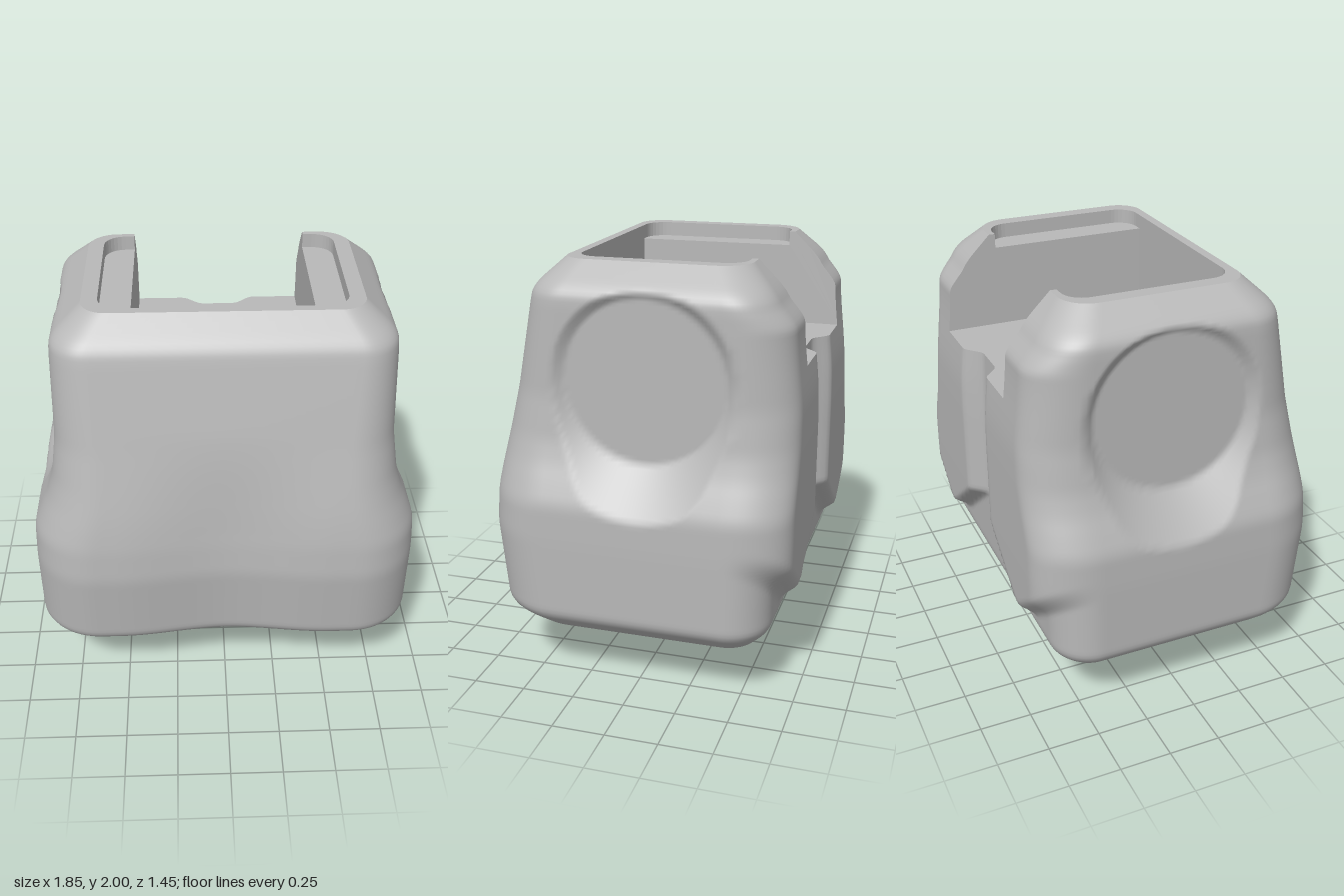
import * as THREE from 'three';

const { smoothstep, lerp } = THREE.MathUtils;
const grey = new THREE.MeshStandardMaterial({ color: 0xb8b8b8, side: THREE.DoubleSide });
grey.name = 'plain grey';

const BOTTOM = 0.28, TOP = 2, FLOOR = 1.53, STEP = 1.93;
const SLOT = 0.42, SLOT_FRONT = 0.345, RECESS = 0.565, RECESS_BACK = -0.44;
const NB = 21; // columns from the back centre to the slot edge

// Body outline by height: [y, half width, front z, back z, front radius, back radius]
const profile = [
  [0.28, 0.835, 0.57, -0.56, 0.24, 0.14],
  [0.36, 0.925, 0.69, -0.635, 0.3, 0.2],
  [0.75, 0.925, 0.73, -0.64, 0.3, 0.2],
  [0.92, 0.92, 0.72, -0.64, 0.3, 0.2],
  [1.02, 0.88, 0.705, -0.64, 0.28, 0.2],
  [1.1, 0.845, 0.69, -0.64, 0.26, 0.2],
  [1.2, 0.815, 0.668, -0.64, 0.24, 0.2],
  [1.4, 0.79, 0.622, -0.635, 0.22, 0.2],
  [1.83, 0.787, 0.53, -0.62, 0.18, 0.2],
  [1.88, 0.78, 0.515, -0.59, 0.17, 0.19],
  [2, 0.64, 0.39, -0.47, 0.12, 0.14],
];

function lookup(y) {
  let i = 0;
  while (i < profile.length - 2 && y > profile[i + 1][0]) i++;
  const a = profile[i], b = profile[i + 1], t = (y - a[0]) / (b[0] - a[0]);
  return a.slice(1).map((v, k) => lerp(v, b[k + 1], t));
}

function outline(y) {
  const h = Math.min(0.03, y - BOTTOM, TOP - y);
  const sets = [-1, -0.5, 0, 0.5, 1].map((k) => lookup(y + k * h));
  return sets[0].map((_, k) => sets.reduce((s, v) => s + v[k], 0) / sets.length);
}

// Raised back pads: a channel between them, a V-shaped lower end, a soft top
function padHeight(x, y) {
  const inner = 0.08 + Math.max(0, 0.75 - y) * 1.3;
  const low = 0.44 + Math.max(0, x - 0.55) * 0.75;
  return lerp(0.085, 0.062, smoothstep(y, 1.3, 1.74)) * smoothstep(x, inner, inner + 0.11)
    * smoothstep(y, low - 0.04, low + 0.08) * (1 - smoothstep(y, 1.73, 1.85));
}

// One half section, from the back centre round +x to the front centre
function halfRing(y) {
  const [w, zf, zb, rf, rb] = outline(y), pts = [[0, zb]];
  const add = (n, f) => { for (let k = 1; k <= n; k++) pts.push(f(k / n)); };
  add(NB, (t) => [SLOT * t, zb]);
  add(10, (t) => [lerp(SLOT, w - rb, t), zb]);
  add(14, (t) => [w - rb + rb * Math.sin(t * Math.PI / 2), zb + rb - rb * Math.cos(t * Math.PI / 2)]);
  add(48, (t) => [w, lerp(zb + rb, zf - rf, t)]);
  add(14, (t) => [w - rf + rf * Math.cos(t * Math.PI / 2), zf - rf + rf * Math.sin(t * Math.PI / 2)]);
  add(20, (t) => [(w - rf) * (1 - t), zf]);
  return pts.map(([x, z]) => {
    if (z < zb + rb) z -= padHeight(x, y) * (zb + rb - z) / rb;
    // shallow groove down the front
    if (z > zf - rf) z -= 0.05 * (1 - smoothstep(y, 0.9, 1.5)) * (1 - smoothstep(x, 0, 0.52));
    // flat side disc with a ramp rising round it
    const r = Math.hypot(z + 0.04, y - 1.485);
    return [Math.min(x, 0.752 + 0.75 * Math.max(0, r - 0.38)), z];
  });
}

function ring(y) {
  const half = halfRing(y);
  return half.concat(half.slice(1, -1).reverse().map(([x, z]) => [-x, z]));
}

// Outer shell, left open at the back above the slot floor
function shellGeometry() {
  const rows = [], pos = [], index = [];
  for (let k = 0; k < 62; k++) rows.push(lerp(BOTTOM, FLOOR, k / 62));
  for (let k = 0; k <= 28; k++) rows.push(lerp(FLOOR, TOP, k / 28));
  let n = 0;
  rows.forEach((y) => {
    const pts = ring(y);
    n = pts.length;
    pts.forEach(([x, z]) => pos.push(x, y, z));
  });
  for (let j = 0; j < rows.length - 1; j++) {
    for (let i = 0; i < n; i++) {
      if (j >= 62 && (i < NB || i >= n - NB)) continue;
      const a = j * n + i, b = j * n + (i + 1) % n, c = a + n, d = b + n;
      index.push(a, c, b, b, c, d);
    }
  }
  const g = new THREE.BufferGeometry();
  g.setAttribute('position', new THREE.Float32BufferAttribute(pos, 3));
  g.setIndex(index);
  g.computeVertexNormals();
  return g;
}

// Flat horizontal face from [x, z] points, facing up
function flat(points, y) {
  const shape = new THREE.Shape(points.map(([x, z]) => new THREE.Vector2(x, -z)));
  return new THREE.ShapeGeometry(shape).rotateX(-Math.PI / 2).translate(0, y, 0);
}

// Rounded half outline of the shallow recess, back to front on +x
function recessHalf() {
  const r = 0.1, pts = [[SLOT, RECESS_BACK]];
  for (let k = 0; k <= 8; k++) {
    const a = k / 8 * Math.PI / 2;
    pts.push([RECESS - r + r * Math.sin(a), RECESS_BACK + r - r * Math.cos(a)]);
  }
  for (let k = 0; k <= 8; k++) {
    const a = k / 8 * Math.PI / 2;
    pts.push([RECESS - r + r * Math.cos(a), SLOT_FRONT - r + r * Math.sin(a)]);
  }
  pts.push([SLOT, SLOT_FRONT]);
  return pts;
}

// Vertical strip standing on a path
function wallGeometry(path, y0, y1) {
  const pos = [];
  for (let i = 0; i < path.length - 1; i++) {
    const [ax, az] = path[i], [bx, bz] = path[i + 1];
    pos.push(ax, y0, az, bx, y0, bz, bx, y1, bz, ax, y0, az, bx, y1, bz, ax, y1, az);
  }
  const g = new THREE.BufferGeometry();
  g.setAttribute('position', new THREE.Float32BufferAttribute(pos, 3));
  g.computeVertexNormals();
  return g;
}

export function createModel() {
  const group = new THREE.Group();
  const add = (name, geometry) => {
    const mesh = new THREE.Mesh(geometry, grey);
    mesh.name = name;
    group.add(mesh);
    return mesh;
  };
  const mirror = (pts) => pts.map(([x, z]) => [-x, z]);

  add('bodyShell', shellGeometry());

  // Top rim around the recess
  const recess = recessHalf();
  const inner = recess.concat(mirror(recess).reverse());
  const top = ring(TOP);
  add('topRim', flat(top.slice(NB, top.length - NB + 1).concat(inner.slice().reverse()), TOP));
  add('recessWall', wallGeometry(inner.slice().reverse(), STEP, TOP));
  add('leftStep', flat(recess, STEP));
  add('rightStep', flat(mirror(recess), STEP));

  // Slot floor follows the back contour
  const half = halfRing(FLOOR).slice(0, NB + 1);
  const back = mirror(half).reverse().concat(half.slice(1));
  add('slotFloor', flat(back.concat([[SLOT, SLOT_FRONT], [-SLOT, SLOT_FRONT]]), FLOOR));
  add('slotFrontWall', wallGeometry([[SLOT, SLOT_FRONT], [-SLOT, SLOT_FRONT]], FLOOR, STEP));

  // Slot side walls, cut to the back profile
  const side = [[SLOT_FRONT, FLOOR]];
  for (let k = 0; k <= 28; k++) {
    const y = lerp(FLOOR, TOP, k / 28);
    side.push([halfRing(y)[NB][1], y]);
  }
  side.push([RECESS_BACK, TOP], [RECESS_BACK, STEP], [SLOT_FRONT, STEP]);
  const sideShape = new THREE.Shape(side.map(([z, y]) => new THREE.Vector2(-z, y)));
  for (const s of [1, -1]) {
    add(s > 0 ? 'leftSlotWall' : 'rightSlotWall',
      new THREE.ShapeGeometry(sideShape).rotateY(Math.PI / 2).translate(s * SLOT, 0, 0));
  }

  // Underside with its opening and cavity
  const base = new THREE.Shape(ring(BOTTOM).map(([x, z]) => new THREE.Vector2(x, z)));
  const hx = 0.24, hz = 0.44;
  base.holes.push(new THREE.Path([[-hx, -hz], [hx, -hz], [hx, hz], [-hx, hz]].map((p) => new THREE.Vector2(...p))));
  add('underside', new THREE.ShapeGeometry(base).rotateX(Math.PI / 2).translate(0, BOTTOM, 0));
  const cavity = new THREE.BoxGeometry(hx * 2, 0.4, hz * 2).translate(0, BOTTOM + 0.2, 0);
  const faces = Array.from(cavity.index.array);
  faces.splice(18, 6); // open at the bottom
  cavity.setIndex(faces);
  add('undersideCavity', cavity);

  // Foot hanging from an axle in the cavity
  const foot = new THREE.Shape();
  foot.moveTo(-0.04, 0.5);
  foot.lineTo(-0.06, 0.31);
  foot.bezierCurveTo(-0.12, 0.27, -0.15, 0.18, -0.13, 0.1);
  foot.bezierCurveTo(-0.11, 0.06, -0.04, 0.05, 0, 0.015);
  foot.quadraticCurveTo(0.04, -0.015, 0.08, 0.015);
  foot.bezierCurveTo(0.12, 0.05, 0.19, 0.06, 0.21, 0.1);
  foot.bezierCurveTo(0.23, 0.18, 0.2, 0.27, 0.14, 0.31);
  foot.lineTo(0.12, 0.5);
  add('foot', new THREE.ExtrudeGeometry(foot, { depth: 0.236, bevelEnabled: false, curveSegments: 12 })
    .rotateY(Math.PI / 2).translate(-0.118, 0, 0));
  add('footAxle', new THREE.CylinderGeometry(0.07, 0.07, hx * 2, 24).rotateZ(Math.PI / 2).translate(0, 0.42, -0.04));
  add('footMount', new THREE.BoxGeometry(0.3, 0.2, 0.4).translate(0, 0.58, -0.04));

  return group;
}
